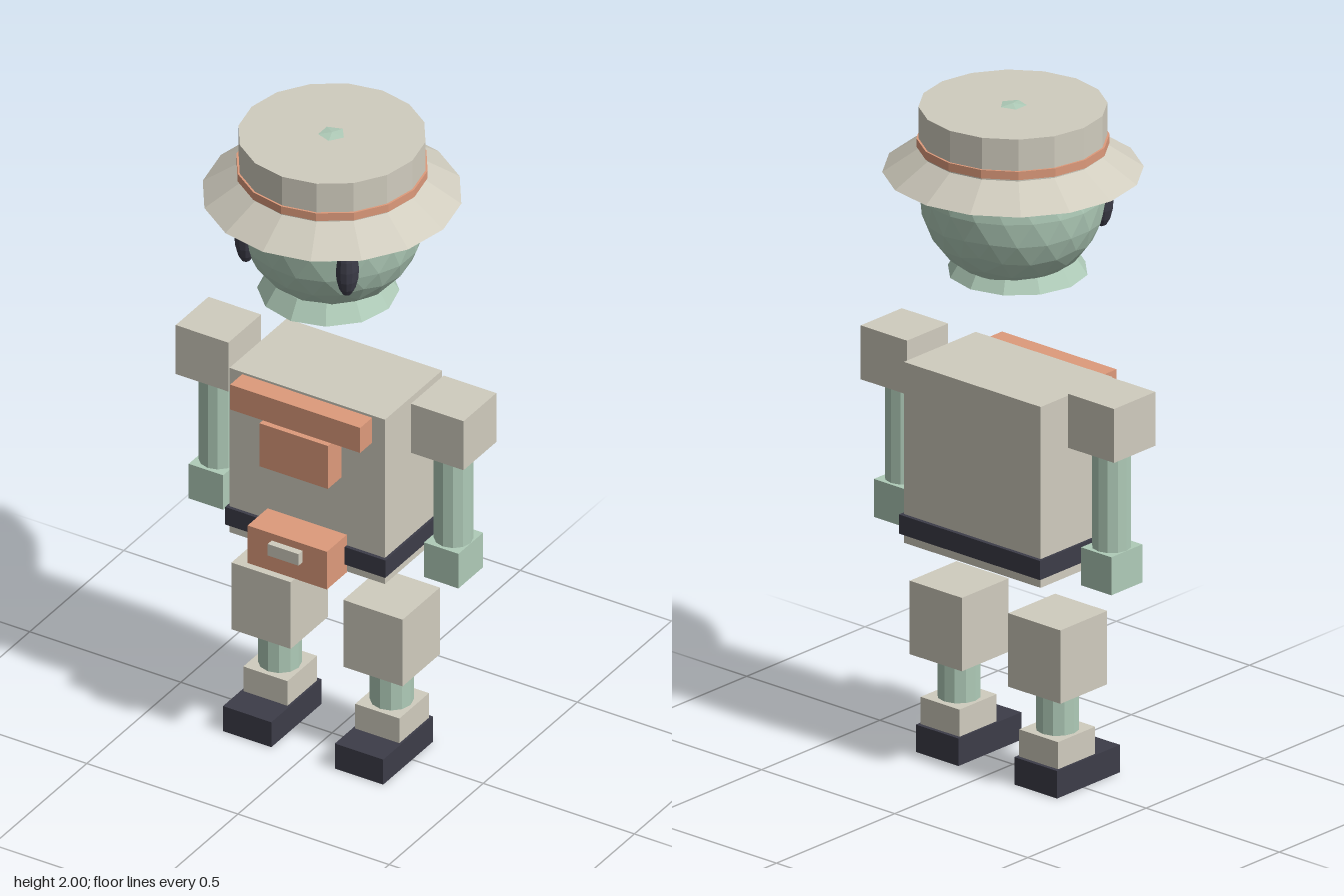
import * as THREE from 'three';

const material = (color) => new THREE.MeshStandardMaterial({ color, flatShading: true });

export function createModel() {
  const model = new THREE.Group();
  const beige = material(0xd0ccbe), green = material(0xafcbb8);
  const orange = material(0xdd9a7b), dark = material(0x3c3c48);

  const add = (parent, name, geometry, mat) => {
    const mesh = new THREE.Mesh(geometry, mat);
    mesh.name = name;
    parent.add(mesh);
    return mesh;
  };
  const group = (name) => {
    const g = new THREE.Group();
    g.name = name;
    model.add(g);
    return g;
  };
  // Box given by centre x, width, and y and z ranges
  const box = (parent, name, mat, x, w, y0, y1, z0, z1) =>
    add(parent, name, new THREE.BoxGeometry(w, y1 - y0, z1 - z0), mat)
      .position.set(x, (y0 + y1) / 2, (z0 + z1) / 2);
  // Upright cylinder or cone given by radii and y range
  const tube = (parent, name, mat, x, z, rTop, rBottom, y0, y1, sides) =>
    add(parent, name, new THREE.CylinderGeometry(rTop, rBottom, y1 - y0, sides), mat)
      .position.set(x, (y0 + y1) / 2, z);

  // Head: faceted ball with a corner at each pole
  const head = group('head');
  const ball = new THREE.IcosahedronGeometry(0.265, 3);
  ball.rotateZ(-Math.atan(2 / (1 + Math.sqrt(5))));
  add(head, 'skull', ball, green).position.y = 1.735;
  tube(head, 'collar', green, 0, 0.02, 0.165, 0.2, 1.49, 1.545, 12);
  for (const side of [-1, 1]) {
    const eye = add(head, side > 0 ? 'leftEye' : 'rightEye', new THREE.SphereGeometry(1, 12, 8), dark);
    eye.scale.set(0.033, 0.09, 0.036);
    eye.position.set(side * 0.167, 1.705, 0.188);
  }

  // Hat
  const hat = group('hat');
  tube(hat, 'brim', beige, 0, 0, 0.26, 0.368, 1.8, 1.873, 16);
  tube(hat, 'crown', beige, 0, 0, 0.266, 0.266, 1.865, 1.995, 16);
  tube(hat, 'hatBand', orange, 0, 0, 0.272, 0.272, 1.875, 1.9, 16);

  // Torso with belt and front pouches
  const torso = group('torso');
  box(torso, 'body', beige, 0, 0.514, 0.653, 1.2, -0.172, 0.132);
  box(torso, 'belt', dark, 0, 0.53, 0.682, 0.74, -0.184, 0.143);
  box(torso, 'chestBar', orange, 0, 0.43, 1.11, 1.193, 0.13, 0.196);
  box(torso, 'chestPouch', orange, 0, 0.226, 0.96, 1.103, 0.13, 0.204);
  box(torso, 'beltPouch', orange, 0, 0.262, 0.65, 0.775, 0.13, 0.238);
  box(torso, 'pouchClip', beige, 0, 0.102, 0.714, 0.752, 0.23, 0.26);

  // Arms and legs, mirrored
  for (const side of [-1, 1]) {
    const label = side > 0 ? 'left' : 'right';
    const arm = group(label + 'Arm');
    const ax = side * 0.389;
    box(arm, 'shoulder', beige, ax, 0.174, 1.07, 1.233, -0.108, 0.066);
    tube(arm, 'armTube', green, ax, -0.021, 0.056, 0.056, 0.76, 1.08, 12);
    box(arm, 'hand', green, ax, 0.114, 0.655, 0.77, -0.086, 0.045);

    const leg = group(label + 'Leg');
    const lx = side * 0.185;
    box(leg, 'thigh', beige, lx, 0.196, 0.293, 0.515, -0.118, 0.08);
    tube(leg, 'shin', green, lx, -0.02, 0.062, 0.062, 0.155, 0.3, 12);
    box(leg, 'ankle', beige, lx, 0.146, 0.08, 0.165, -0.1, 0.057);
    box(leg, 'shoe', dark, lx, 0.16, 0, 0.083, -0.112, 0.154);
  }
  return model;
}
